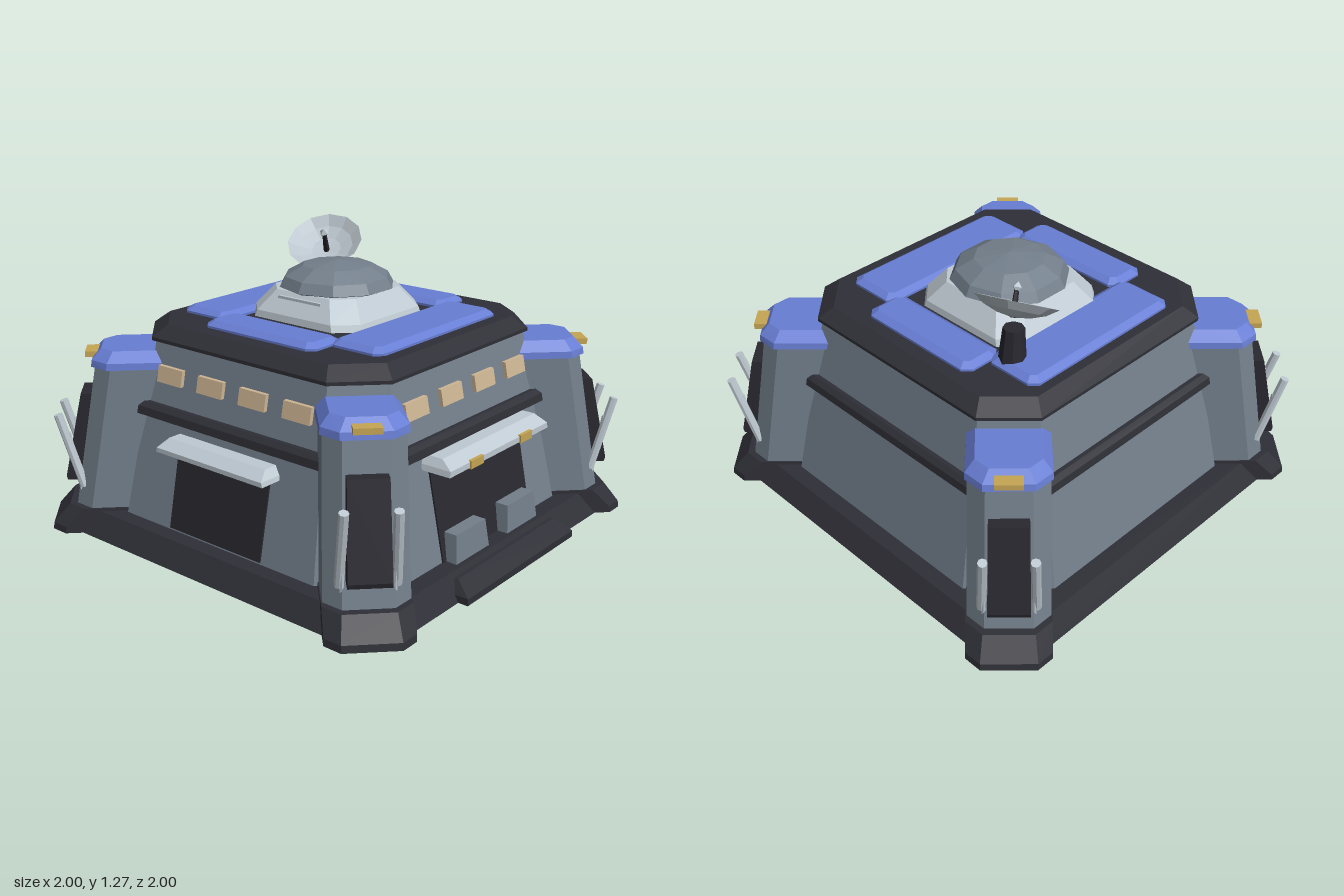
import * as THREE from 'three';
import { ConvexGeometry } from 'three/addons/geometries/ConvexGeometry.js';

const mat = (name, color, extra = {}) => {
  const m = new THREE.MeshStandardMaterial({ color, ...extra });
  m.name = name;
  return m;
};

export function createModel() {
  const wall = mat('wallGrey', 0x737f8b, { flatShading: true });
  const light = mat('lightGrey', 0xbfcad2, { flatShading: true });
  const dishGrey = mat('dishGrey', 0xb9c3cb, { flatShading: true, side: THREE.DoubleSide });
  const blue = mat('blue', 0x687ed4, { flatShading: true });
  const dark = mat('charcoal', 0x2f2f37, { flatShading: true });
  const black = mat('nearBlack', 0x28282f, { flatShading: true });
  const tan = mat('windowTan', 0xcdb593, { flatShading: true });
  const gold = mat('lampGold', 0xc6a655, { flatShading: true });

  const model = new THREE.Group();
  model.name = 'outpost';

  const add = (parent, name, geometry, material, x = 0, y = 0, z = 0) => {
    const mesh = new THREE.Mesh(geometry, material);
    mesh.name = name;
    mesh.position.set(x, y, z);
    parent.add(mesh);
    return mesh;
  };
  // Convex solid through stacked outlines: each ring is [y, [[x, z], ...]]
  const solid = (...rings) => new ConvexGeometry(
    rings.flatMap(([y, pts]) => pts.map(([x, z]) => new THREE.Vector3(x, y, z))));
  // Rectangle with cut corners
  const oct = (hx, hz, c, cx = 0, cz = 0) => [[1, 1], [1, -1], [-1, -1], [-1, 1]].flatMap(([a, b]) =>
    [[cx + a * hx, cz + b * (hz - c)], [cx + a * (hx - c), cz + b * hz]]);
  const rect = (hx, z0, z1) => [[-hx, z0], [hx, z0], [hx, z1], [-hx, z1]];
  const rod = (parent, name, a, b, r0, r1, material, sides = 8) => {
    const p = new THREE.Vector3(...a), q = new THREE.Vector3(...b);
    const mesh = add(parent, name, new THREE.CylinderGeometry(r1, r0, p.distanceTo(q), sides), material);
    mesh.position.copy(p).add(q).multiplyScalar(0.5);
    mesh.quaternion.setFromUnitVectors(new THREE.Vector3(0, 1, 0), q.sub(p).normalize());
    return mesh;
  };

  // Foundation, sloped body and roof slab
  add(model, 'foundation', solid([0, oct(0.95, 0.945, 0.1)], [0.1, oct(0.89, 0.885, 0.1)]), dark);
  add(model, 'body', solid([0.09, oct(0.815, 0.815, 0.27)], [0.88, oct(0.65, 0.65, 0.17)]), wall);
  add(model, 'roofSlab', solid([0.87, oct(0.67, 0.67, 0.18)], [0.885, oct(0.67, 0.67, 0.18)],
    [0.935, oct(0.61, 0.61, 0.16)]), dark);

  // Wall details are built facing +z and turned to their side
  const wallZ = (y) => 0.81 - 0.16 * (y - 0.11) / 0.77;
  const plate = (x0, x1, y0, y1, t) => {
    const ring = (y) => [y, [[x0, wallZ(y) - 0.02], [x1, wallZ(y) - 0.02], [x1, wallZ(y) + t], [x0, wallZ(y) + t]]];
    return solid(ring(y0), ring(y1));
  };
  const sides = ['front', 'right', 'back', 'left'].map((name, i) => {
    const g = new THREE.Group();
    g.name = name + 'Wall';
    g.rotation.y = i * Math.PI / 2;
    model.add(g);
    add(g, 'ledge', solid([0.555, rect(0.53, 0.69, 0.75)], [0.59, rect(0.53, 0.69, 0.745)],
      [0.61, rect(0.51, 0.68, 0.725)]), dark);
    if (i < 2) {
      for (const x of [-0.36, -0.12, 0.12, 0.36])
        add(g, 'window', plate(x - 0.073, x + 0.073, 0.705, 0.775, 0.018), tan);
    }
    return g;
  });

  // Front door and canopy
  const [front, right] = sides;
  add(front, 'door', plate(-0.265, 0.26, 0.11, 0.46, 0.008), black);
  add(front, 'doorCanopy', solid([0.455, rect(0.305, 0.7, 0.84)], [0.475, rect(0.3, 0.7, 0.84)],
    [0.51, rect(0.275, 0.7, 0.79)]), light);

  // Wide garage opening with canopy, lamps, crates and ramp
  add(right, 'garageDoor', plate(-0.33, 0.33, 0.095, 0.5, 0.008), black);
  add(right, 'garageCanopy', solid([0.495, rect(0.37, 0.7, 0.865)], [0.52, rect(0.365, 0.7, 0.865)],
    [0.555, rect(0.345, 0.69, 0.81)]), light);
  for (const s of [-1, 1]) {
    add(right, 'garageLamp', new THREE.BoxGeometry(0.09, 0.035, 0.02), gold, s * 0.185, 0.508, 0.862);
    add(right, 'crate', solid([0.09, rect(0.12, 0.74, 0.87)], [0.22, rect(0.105, 0.74, 0.855)]), wall, s * 0.19);
  }
  add(right, 'ramp', solid([0, rect(0.41, 0.85, 0.995)], [0.03, rect(0.41, 0.85, 0.995)],
    [0.08, rect(0.37, 0.85, 0.92)]), dark);

  // Corner towers: local +z points outward along the diagonal
  const nose = (z0, z1, z2, w1, w2) => [[-w1, z0], [w1, z0], [w1, z1], [w2, z2], [-w2, z2], [-w1, z1]];
  for (let i = 0; i < 4; i++) {
    const g = new THREE.Group();
    g.name = 'cornerTower';
    g.rotation.y = Math.PI / 4 + i * Math.PI / 2;
    model.add(g);
    add(g, 'towerFoot', solid([0, nose(0.8, 1.24, 1.3, 0.175, 0.115)],
      [0.03, nose(0.8, 1.235, 1.295, 0.175, 0.115)], [0.115, nose(0.8, 1.15, 1.22, 0.175, 0.105)]), dark);
    add(g, 'tower', solid([0.1, nose(0.7, 1.12, 1.19, 0.17, 0.1)],
      [0.77, nose(0.7, 1.0, 1.07, 0.16, 0.09)]), wall);
    add(g, 'towerCap', solid([0.75, nose(0.78, 1.02, 1.09, 0.17, 0.1)], [0.78, nose(0.78, 1.015, 1.085, 0.168, 0.1)],
      [0.825, nose(0.78, 0.99, 1.045, 0.13, 0.075)]), blue);
    add(g, 'towerLamp', new THREE.BoxGeometry(0.11, 0.025, 0.065), gold, 0, 0.793, 1.085);
    add(g, 'towerPanel', solid([0.22, rect(0.085, 1.1, 1.225)], [0.24, rect(0.085, 1.1, 1.23)],
      [0.62, rect(0.08, 1.03, 1.145)]), black);
    for (const s of [-1, 1]) {
      rod(g, 'strut', [s * 0.11, 0.2, 1.15], [s * 0.1, 0.535, 1.245], 0.02, 0.02, light);
      rod(g, 'strutFoot', [s * 0.1, 0.165, 1.16], [s * 0.1, 0.45, 1.205], 0.01, 0.01, light, 6);
    }
  }

  // Blue roof panels with bevelled rims
  const roofPanel = (x, z, hx, hz) => add(model, 'roofPanel', solid([0.92, oct(hx, hz, 0.035)],
    [0.945, oct(hx, hz, 0.035)], [0.965, oct(hx - 0.03, hz - 0.03, 0.02)]), blue, x, 0, z);
  for (const s of [-1, 1]) {
    roofPanel(s * 0.425 - 0.008, -0.005, 0.135, 0.425);
    roofPanel(-0.005, s * 0.445 - 0.005, 0.31, 0.1);
  }

  // Observation dome on its bevelled plinth
  const dome = new THREE.Group();
  dome.name = 'observationDome';
  dome.position.set(-0.04, 0, -0.03);
  model.add(dome);
  add(dome, 'plinth', solid([0.935, oct(0.31, 0.3, 0.09)], [0.965, oct(0.3, 0.295, 0.09)],
    [1.055, oct(0.23, 0.23, 0.08)]), light);
  add(dome, 'plinthSlot', new THREE.BoxGeometry(0.24, 0.012, 0.02), light, 0, 1.03, 0.247);
  const profile = [[0.21, 1.04], [0.26, 1.06], [0.235, 1.105], [0.155, 1.15], [0, 1.17]];
  add(dome, 'domeShell', new THREE.LatheGeometry(
    profile.map(([r, y]) => new THREE.Vector2(r, y)), 10), wall);

  // Dish antenna on a stubby mast
  rod(model, 'dishMast', [-0.38, 0.93, -0.36], [-0.38, 1.1, -0.35], 0.06, 0.045, black, 8);
  const dish = new THREE.Group();
  dish.name = 'dishAntenna';
  dish.position.set(-0.35, 1.12, -0.325);
  dish.quaternion.setFromUnitVectors(new THREE.Vector3(0, 1, 0), new THREE.Vector3(0.22, 0.8, 0.5).normalize());
  model.add(dish);
  const bowl = [[0, 0], [0.07, 0.01], [0.13, 0.032], [0.178, 0.065]];
  add(dish, 'dishBowl', new THREE.LatheGeometry(bowl.map(([r, y]) => new THREE.Vector2(r, y)), 12), dishGrey);
  rod(dish, 'feedArm', [0, 0, 0], [0.01, 0.11, 0], 0.015, 0.01, black, 6);
  add(dish, 'feedHorn', new THREE.OctahedronGeometry(0.024), light, 0.01, 0.122, 0);

  return model;
}
